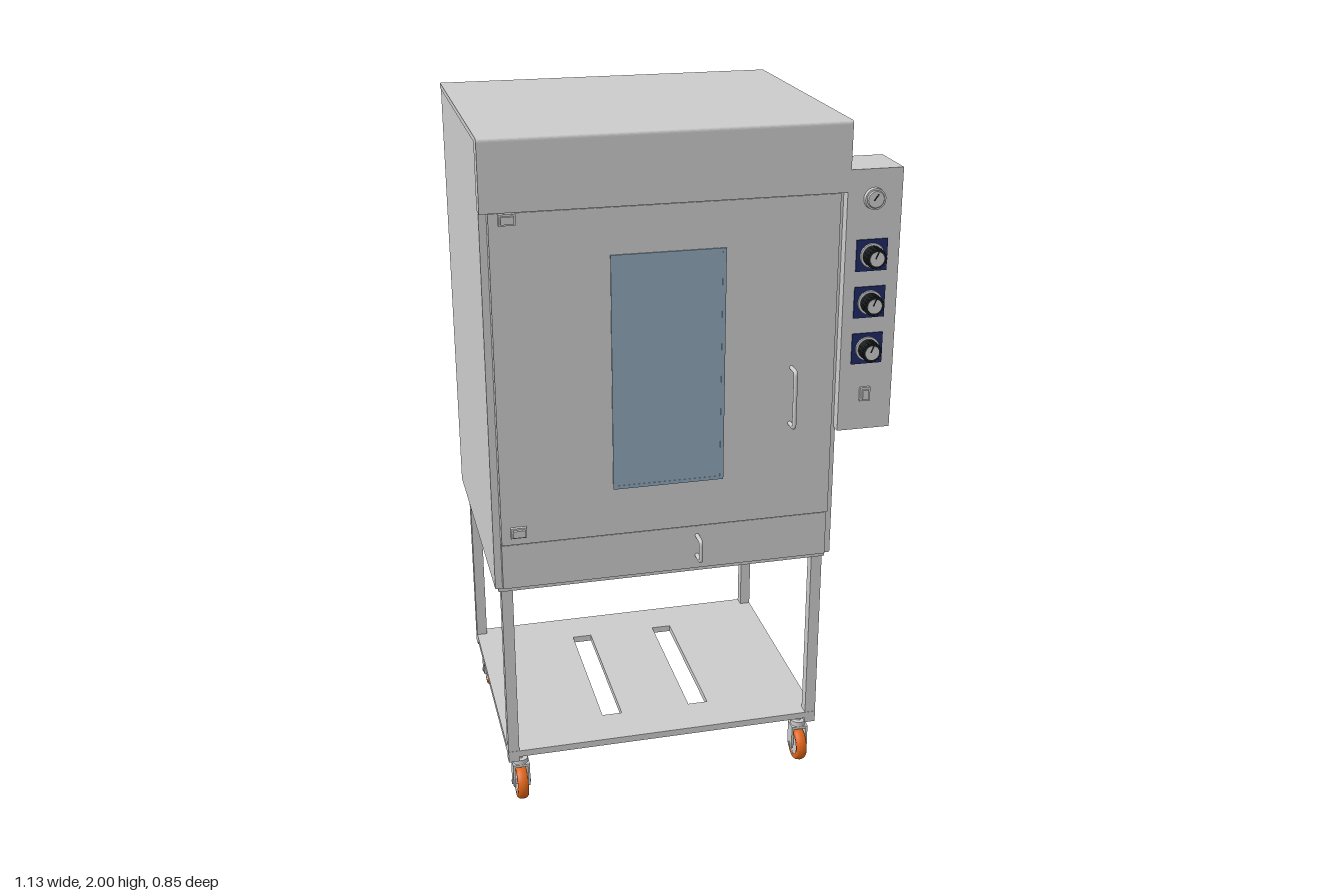
import * as THREE from 'three';

const paint = (color) => new THREE.MeshStandardMaterial({ color });
const steel = paint(0xcccccc);
const navy = paint(0x1f2a66);
const black = paint(0x1a1d20);
const orange = paint(0xe0651a);
const glass = paint(0x8fa6b8);

export function createModel() {
  const root = new THREE.Group();

  const add = (name, geometry, material = steel, parent = root) => {
    const mesh = new THREE.Mesh(geometry, material);
    mesh.name = name;
    parent.add(mesh);
    return mesh;
  };
  // Box given by its limits on each axis
  const box = (name, x0, x1, y0, y1, z0, z1, material, parent) => {
    const mesh = add(name, new THREE.BoxGeometry(x1 - x0, y1 - y0, z1 - z0), material, parent);
    mesh.position.set((x0 + x1) / 2, (y0 + y1) / 2, (z0 + z1) / 2);
    return mesh;
  };
  // Round part whose axis points forward
  const disc = (name, x, y, z0, z1, r0, r1, material, parent) => {
    const mesh = add(name, new THREE.CylinderGeometry(r1, r0, z1 - z0, 32), material, parent);
    mesh.rotation.x = Math.PI / 2;
    mesh.position.set(x, y, (z0 + z1) / 2);
    return mesh;
  };
  const rectangle = (Type, x0, x1, y0, y1) => new Type([
    new THREE.Vector2(x0, y0), new THREE.Vector2(x1, y0),
    new THREE.Vector2(x1, y1), new THREE.Vector2(x0, y1),
  ]);

  // Cabinet with overhanging hood
  box('cabinet', -0.565, 0.415, 0.735, 1.995, -0.427, 0.347);
  const hoodProfile = new THREE.Shape();
  hoodProfile.moveTo(0.335, 1.81);
  hoodProfile.lineTo(0.38, 1.81);
  hoodProfile.lineTo(0.38, 1.99);
  hoodProfile.quadraticCurveTo(0.38, 2, 0.37, 2);
  hoodProfile.lineTo(-0.428, 2);
  hoodProfile.lineTo(-0.428, 1.985);
  hoodProfile.lineTo(0.335, 1.985);
  hoodProfile.closePath();
  const hood = add('hood', new THREE.ExtrudeGeometry(hoodProfile, { depth: 0.984, bevelEnabled: false, curveSegments: 6 }));
  hood.rotation.y = -Math.PI / 2;
  hood.scale.z = -1;
  hood.geometry.scale(1, 1, -1);
  hood.position.x = 0.417;
  hood.scale.z = 1;
  // The profile's first axis becomes depth, the extrusion runs across the width
  hood.geometry.scale(1, 1, -1);
  hood.rotation.y = -Math.PI / 2;
  hood.position.x = 0.417;

  // Door, lower panel and window
  box('door', -0.545, 0.393, 0.88, 1.808, 0.347, 0.376);
  box('lowerPanel', -0.545, 0.393, 0.742, 0.874, 0.347, 0.366);
  const gasketShape = rectangle(THREE.Shape, -0.232, 0.08, 1.018, 1.682);
  gasketShape.holes.push(rectangle(THREE.Path, -0.222, 0.07, 1.028, 1.672));
  const gasket = add('windowGasket', new THREE.ExtrudeGeometry(gasketShape, { depth: 0.004, bevelEnabled: false }), glass);
  gasket.position.z = 0.376;
  box('windowGlass', -0.222, 0.07, 1.028, 1.672, 0.374, 0.379, glass);

  // Hinges
  for (const y of [0.918, 1.793]) {
    const hinge = new THREE.Group();
    hinge.name = 'hinge';
    root.add(hinge);
    box('hingeLeaf', -0.52, -0.476, y - 0.015, y + 0.015, 0.374, 0.386, steel, hinge);
    box('hingeCap', -0.515, -0.481, y - 0.01, y + 0.01, 0.386, 0.394, steel, hinge);
  }

  // Bow handles
  const handle = (name, x, y0, y1, z0, z1) => {
    const r = 0.01;
    const path = new THREE.CurvePath();
    const v = (y, z) => new THREE.Vector3(x, y, z);
    path.add(new THREE.LineCurve3(v(y0, z0), v(y0, z1 - r)));
    path.add(new THREE.QuadraticBezierCurve3(v(y0, z1 - r), v(y0, z1), v(y0 + r, z1)));
    path.add(new THREE.LineCurve3(v(y0 + r, z1), v(y1 - r, z1)));
    path.add(new THREE.QuadraticBezierCurve3(v(y1 - r, z1), v(y1, z1), v(y1, z1 - r)));
    path.add(new THREE.LineCurve3(v(y1, z1 - r), v(y1, z0)));
    add(name, new THREE.TubeGeometry(path, 80, 0.006, 12));
  };
  handle('doorHandle', 0.27, 1.166, 1.33, 0.372, 0.416);
  handle('panelHandle', 0.01, 0.782, 0.844, 0.36, 0.41);

  // Control box with gauge, dials and switch
  const controls = new THREE.Group();
  controls.name = 'controlPanel';
  root.add(controls);
  box('controlBox', 0.41, 0.564, 1.13, 1.87, 0.22, 0.378, steel, controls);
  disc('gaugeBody', 0.485, 1.79, 0.377, 0.39, 0.03, 0.029, steel, controls);
  disc('gaugeFace', 0.485, 1.79, 0.389, 0.394, 0.025, 0.022, steel, controls);
  const needle = box('gaugeNeedle', 0.484, 0.487, 1.785, 1.807, 0.393, 0.3955, black, controls);
  needle.rotation.z = -0.6;
  for (const y of [1.635, 1.503, 1.37]) {
    const dial = new THREE.Group();
    dial.name = 'dial';
    controls.add(dial);
    box('dialPlate', 0.441, 0.529, y - 0.044, y + 0.044, 0.377, 0.382, navy, dial);
    disc('dialFlange', 0.485, y, 0.382, 0.388, 0.034, 0.034, steel, dial);
    disc('dialKnob', 0.485, y, 0.388, 0.422, 0.028, 0.025, black, dial);
    disc('dialCap', 0.485, y, 0.42, 0.4235, 0.02, 0.02, steel, dial);
    for (let i = 0; i < 16; i++) {
      const a = (i / 16) * Math.PI * 2;
      const rib = box('dialRib', -0.002, 0.002, -0.002, 0.002, 0.394, 0.422, black, dial);
      rib.position.x = 0.485 + Math.cos(a) * 0.0265;
      rib.position.y = y + Math.sin(a) * 0.0265;
      rib.rotation.z = a;
    }
    const mark = box('dialPointer', 0.4835, 0.4865, y, y + 0.022, 0.422, 0.425, black, dial);
    mark.rotation.z = -0.4;
  }
  box('switchFrame', 0.47, 0.5, 1.216, 1.256, 0.377, 0.386, steel, controls);
  box('switchRocker', 0.476, 0.494, 1.222, 1.25, 0.385, 0.393, steel, controls);

  // Stand: top frame, legs and slotted shelf
  const stand = new THREE.Group();
  stand.name = 'stand';
  root.add(stand);
  for (const [z0, z1] of [[0.305, 0.34], [-0.412, -0.377]]) {
    box('frameRail', -0.555, 0.402, 0.72, 0.737, z0, z1, steel, stand);
  }
  for (const [x0, x1] of [[-0.555, -0.52], [0.367, 0.402]]) {
    box('frameSideRail', x0, x1, 0.72, 0.737, -0.377, 0.305, steel, stand);
  }
  const shelfShape = rectangle(THREE.Shape, -0.547, 0.397, -0.335, 0.405);
  for (const x of [-0.21, 0.06]) {
    shelfShape.holes.push(rectangle(THREE.Path, x - 0.03, x + 0.03, -0.205, 0.28));
  }
  const shelf = add('shelf', new THREE.ExtrudeGeometry(shelfShape, { depth: 0.02, bevelEnabled: false }), steel, stand);
  shelf.rotation.x = -Math.PI / 2;
  shelf.position.y = 0.166;

  // Tyre profile, radius then width
  const tyreProfile = [
    [0.034, -0.015], [0.046, -0.016], [0.051, -0.011], [0.053, 0],
    [0.051, 0.011], [0.046, 0.016], [0.034, 0.015],
  ].map(([r, w]) => new THREE.Vector2(r, w));

  // Legs with a caster under each
  for (const [legX, wheelX] of [[-0.531, -0.508], [0.381, 0.357]]) {
    for (const [legZ, wheelZ] of [[0.318, 0.295], [-0.388, -0.365]]) {
      box('leg', legX - 0.016, legX + 0.016, 0.15, 0.72, legZ - 0.016, legZ + 0.016, steel, stand);
      const caster = new THREE.Group();
      caster.name = 'caster';
      caster.position.set(wheelX, 0, wheelZ);
      stand.add(caster);
      const tyre = add('tyre', new THREE.LatheGeometry(tyreProfile, 40), orange, caster);
      const hub = add('hub', new THREE.CylinderGeometry(0.035, 0.035, 0.026, 32), steel, caster);
      const axle = add('axle', new THREE.CylinderGeometry(0.007, 0.007, 0.056, 16), steel, caster);
      for (const part of [tyre, hub, axle]) {
        part.rotation.z = Math.PI / 2;
        part.position.y = 0.054;
      }
      for (const s of [-1, 1]) {
        box('forkArm', s * 0.022 - 0.003, s * 0.022 + 0.003, 0.048, 0.122, -0.02, 0.02, steel, caster);
      }
      box('forkBridge', -0.025, 0.025, 0.116, 0.124, -0.022, 0.022, steel, caster);
      const swivel = add('swivel', new THREE.CylinderGeometry(0.022, 0.022, 0.016, 24), steel, caster);
      swivel.position.y = 0.131;
      const stem = add('stem', new THREE.CylinderGeometry(0.008, 0.008, 0.04, 16), steel, caster);
      stem.position.y = 0.15;
    }
  }
  return root;
}
